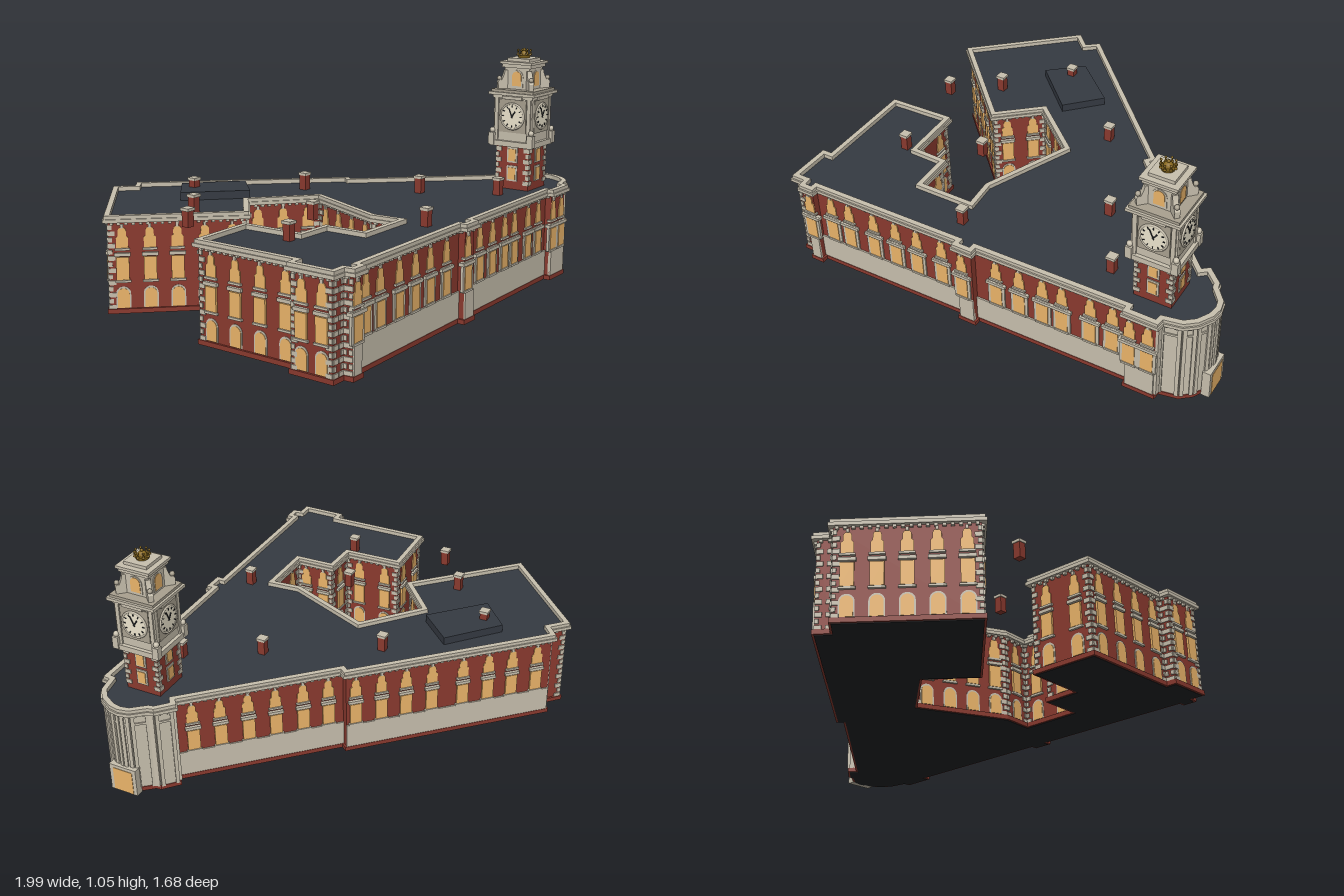
import * as THREE from 'three';

const mat = (color, side = THREE.FrontSide) => new THREE.MeshStandardMaterial({ color, side });
const BRICK = mat(0x8b3a2f), STONE = mat(0xc8c0ae), GLASS = mat(0xecb56a), ROOF = mat(0x353a42, THREE.DoubleSide);
const DARK = mat(0x222426, THREE.DoubleSide), GOLD = mat(0x8a6a1e), DIAL = mat(0xeee6cf), SHADE = mat(0xa9a190);

// Cornice outline [x, z, style, window positions] of the wall that starts at each point
const OUTLINE = [
  [-.99, .80], [-.925, .80], [-.92, .84, 'front', [-.88]], [-.835, .84],
  [-.835, .81, 'front', [-.785, -.69, -.56, -.445, -.335, -.21]], [-.13, .80],
  [-.13, .83, 'front', [-.09]], [-.02, .83],
  [-.02, .80, 'front', [.06, .17, .28, .37, .50, .60]], [.655, .79],
  [.655, .82, 'front', [.69, .77]], [.82, .82, 'nose'], [.825, .785, 'nose'], [.90, .77, 'nose'],
  [.95, .73, 'nose'], [.985, .67, 'nose'], [.995, .62, 'nose'], [.985, .57, 'nose'], [.935, .51, 'nose'],
  [.93, .485, 'nose'], [.855, .415, 'nose'],
  [.825, .44, 'side', [.41, .325, .237, .15, .062, -.02]], [.335, -.07],
  [.355, -.095, 'side', [-.125, -.21, -.293, -.38, -.486, -.574, -.657, -.744]],
  [-.335, -.82], [-.39, -.775], [-.46, -.845], [-.905, -.445], [-.475, -.01], [-.29, -.17], [-.06, .03],
  [-.225, .42], [-.215, .55], [-.45, .55], [-.455, .365], [-.615, .36], [-.625, .085], [-.95, .095],
  [-.945, .575], [-.99, .575],
];

// Move every edge of the outline inward by d
function inset(d) {
  const n = OUTLINE.length;
  const normal = (a, b) => new THREE.Vector2(a[1] - b[1], b[0] - a[0]).normalize();
  return OUTLINE.map((p, i) => {
    const n1 = normal(OUTLINE[(i + n - 1) % n], p), n2 = normal(p, OUTLINE[(i + 1) % n]);
    const k = d / (1 + n1.dot(n2));
    return new THREE.Vector2(p[0] - (n1.x + n2.x) * k, p[1] - (n1.y + n2.y) * k);
  });
}
const flip = pts => pts.map(p => new THREE.Vector2(p.x, -p.y));

function add(parent, name, geo, material, x = 0, y = 0, z = 0) {
  const m = new THREE.Mesh(geo, material);
  m.name = name;
  m.position.set(x, y, z);
  parent.add(m);
  return m;
}
// Box given by its bottom height and top height
const box = (parent, name, material, w, y0, y1, d, x = 0, z = 0) =>
  add(parent, name, new THREE.BoxGeometry(w, y1 - y0, d), material, x, (y0 + y1) / 2, z);

// Flat plan shape raised from y0 to y1, with an optional hole
function slab(parent, name, material, pts, y0, y1, hole) {
  const s = new THREE.Shape(flip(pts));
  if (hole) s.holes.push(new THREE.Path(flip(hole)));
  const geo = new THREE.ExtrudeGeometry(s, { depth: y1 - y0, bevelEnabled: false }).rotateX(-Math.PI / 2);
  return add(parent, name, geo, material, 0, y0, 0);
}

function archGeo(w, h, depth) {
  const s = new THREE.Shape(), r = w / 2;
  s.moveTo(-r, 0).lineTo(r, 0).lineTo(r, h - r);
  s.absarc(0, h - r, r, 0, Math.PI, false);
  return new THREE.ExtrudeGeometry(s, { depth, bevelEnabled: false, curveSegments: 6 });
}
// Upper window: wide foot, narrower arched head
function shoulderGeo() {
  const s = new THREE.Shape();
  s.moveTo(-.025, 0).lineTo(.025, 0).lineTo(.025, .045).lineTo(.017, .052).lineTo(.017, .072);
  s.absarc(0, .072, .017, 0, Math.PI, false);
  s.lineTo(-.017, .052).lineTo(-.025, .045);
  return new THREE.ExtrudeGeometry(s, { depth: .004, bevelEnabled: false, curveSegments: 6 });
}
const SHOULDER = shoulderGeo(), ARCH = archGeo(.05, .085, .004), ARCH_FRAME = archGeo(.062, .093, .002);

function windows(wall, x, style) {
  if (style === 'front') box(wall, 'windowSurround', STONE, .08, .14, .265, .012, x);
  box(wall, 'lowerWindow', GLASS, .054, .147, .245, .018, x);
  box(wall, 'windowHood', STONE, style === 'front' ? .092 : .068, .25, .264, .026, x);
  box(wall, 'windowSill', STONE, .066, .136, .145, .022, x);
  add(wall, 'upperWindow', SHOULDER, GLASS, x, .284, .001);
  box(wall, 'upperSill', STONE, .062, .274, .283, .02, x);
  box(wall, 'keystone', STONE, .012, .37, .386, .016, x);
  if (!style) {
    add(wall, 'groundArch', ARCH_FRAME, STONE, x, .025, .001);
    add(wall, 'groundWindow', ARCH, GLASS, x, .025, .001);
  }
}

// Alternating corner stones up a vertical edge; s is the side the edge lies on
function quoins(parent, x, s, y0, y1, z = 0) {
  const n = Math.round((y1 - y0) / .026);
  for (let i = 0; i < n; i++) {
    const w = i % 2 ? .016 : .028, y = y0 + (y1 - y0) * i / n;
    box(parent, 'quoin', STONE, w, y, y + .019, .01, x - s * w / 2, z);
  }
}

function buildWalls(parent) {
  const pts = inset(.02);
  pts.forEach((a, i) => {
    const b = pts[(i + 1) % pts.length], [, , style, list] = OUTLINE[i];
    const d = b.clone().sub(a), len = d.length();
    const wall = new THREE.Group();
    wall.name = 'wall';
    wall.position.set((a.x + b.x) / 2, 0, (a.y + b.y) / 2);
    wall.rotation.y = Math.atan2(-d.y, d.x);
    parent.add(wall);
    for (let k = 0, n = Math.floor(len / .03); k < n; k++)
      box(wall, 'dentil', STONE, .014, .384, .396, .024, ((k + .5) / n - .5) * len);
    if (style === 'nose') {
      box(wall, 'stoneFacing', STONE, len, .02, .395, .012);
      box(wall, 'stringCourse', STONE, len, .345, .355, .022);
      for (const s of [-1, 1]) box(wall, 'pilaster', STONE, .016, .02, .39, .026, s * (len / 2 - .008));
    } else if (style) {
      box(wall, 'stoneBase', STONE, len, .022, .137, .014);
      for (const v of list) {
        const t = style === 'front' ? (v - a.x) / d.x : (v - a.y) / d.y;
        windows(wall, (t - .5) * len, style);
      }
    } else if (len > .04) {
      for (const s of [-1, 1]) quoins(wall, s * len / 2, s, .02, .39);
      const n = len > .12 ? Math.round(len / .115) : 0;
      for (let k = 0; k < n; k++) windows(wall, ((k + .5) / n - .5) * len);
    }
  });
}

function clockFace(side, z) {
  const g = new THREE.Group();
  g.name = 'clock';
  g.position.set(0, .745, z);
  side.add(g);
  add(g, 'clockPanel', new THREE.BoxGeometry(.136, .15, .008), SHADE);
  add(g, 'dial', new THREE.CylinderGeometry(.057, .057, .01, 32).rotateX(Math.PI / 2), DIAL, 0, 0, .004);
  add(g, 'dialRim', new THREE.TorusGeometry(.058, .005, 6, 32), STONE, 0, 0, .007);
  const bar = (name, angle, r0, r1, w) => {
    const geo = new THREE.BoxGeometry(w, r1 - r0, .003).translate(0, (r0 + r1) / 2, 0);
    add(g, name, geo, DARK, 0, 0, .0105).rotation.z = angle;
  };
  for (let i = 0; i < 12; i++) bar('hourMark', i * Math.PI / 6, .041, .05, .004);
  bar('minuteHand', .42, -.008, .042, .004);
  bar('hourHand', -.6, -.006, .028, .006);
}

function buildTower(parent) {
  const t = new THREE.Group();
  t.name = 'clockTower';
  t.position.set(.73, 0, .61);
  parent.add(t);
  const tier = (name, m, h, y0, y1) => box(t, name, m, h * 2, y0, y1, h * 2);
  tier('brickShaft', BRICK, .082, .40, .61);
  tier('stageFoot', STONE, .106, .605, .63);
  tier('clockStage', STONE, .09, .63, .83);
  tier('cornice', STONE, .1, .825, .84);
  tier('cornice', STONE, .115, .84, .853);
  tier('cornice', SHADE, .105, .853, .865);
  tier('lantern', STONE, .062, .865, .975);
  tier('lanternCornice', STONE, .072, .962, .978);
  tier('lanternCornice', STONE, .08, .978, .99);
  tier('lanternCap', STONE, .055, .99, 1.004);
  // Scroll buttress profile, standing at each lantern corner
  const scroll = new THREE.Shape();
  scroll.moveTo(.07, 0).lineTo(.12, 0).lineTo(.122, .03).quadraticCurveTo(.115, .045, .105, .04);
  scroll.quadraticCurveTo(.094, .06, .09, .085).lineTo(.07, .085);
  const scrollGeo = new THREE.ExtrudeGeometry(scroll, { depth: .022, bevelEnabled: false }).translate(0, 0, -.011);
  const arch = archGeo(.046, .066, .006), archFrame = archGeo(.062, .078, .004);
  for (let i = 0; i < 4; i++) {
    const side = new THREE.Group();
    side.name = 'towerSide';
    side.rotation.y = i * Math.PI / 2;
    t.add(side);
    for (const s of [-1, 1]) {
      quoins(side, s * .084, s, .43, .605, .081);
      box(side, 'cornerPilaster', STONE, .018, .63, .825, .014, s * .081, .09);
    }
    for (const y of [.452, .538]) {
      box(side, 'towerWindowFrame', STONE, .052, y - .008, y + .064, .012, 0, .08);
      box(side, 'towerWindow', GLASS, .036, y, y + .055, .018, 0, .08);
    }
    clockFace(side, .092);
    box(side, 'clockHood', STONE, .1, .822, .836, .03, 0, .092);
    add(side, 'lanternFrame', archFrame, STONE, 0, .874, .061);
    add(side, 'lanternWindow', arch, GLASS, 0, .88, .061);
    box(side, 'pedestal', STONE, .028, .61, .665, .028, .098, .098);
    add(side, 'pedestalUrn', new THREE.SphereGeometry(.013, 10, 8), STONE, .098, .675, .098);
    add(side, 'scrollButtress', scrollGeo, STONE, 0, .865, 0).rotation.y = Math.PI / 4;
    add(side, 'cornerFinial', new THREE.SphereGeometry(.011, 10, 8), SHADE, .08, .912, .08);
  }
  // Crown
  add(t, 'crownBand', new THREE.CylinderGeometry(.03, .026, .014, 16), GOLD, 0, 1.011, 0);
  for (let i = 0; i < 8; i++) {
    const a = i * Math.PI / 4, x = Math.cos(a) * .03, z = Math.sin(a) * .03;
    add(t, 'crownPoint', new THREE.ConeGeometry(.007, .022, 6), GOLD, x, 1.027, z);
    add(t, 'crownBall', new THREE.SphereGeometry(.005, 8, 6), GOLD, x, 1.037, z);
  }
  add(t, 'crownDome', new THREE.SphereGeometry(.02, 12, 8), GOLD, 0, 1.018, 0);
  add(t, 'crownOrb', new THREE.SphereGeometry(.007, 8, 6), GOLD, 0, 1.04, 0);
}

export function createModel() {
  const g = new THREE.Group();
  g.name = 'building';
  const wall = inset(.02), inner = inset(.029);
  slab(g, 'brickWalls', BRICK, wall, .002, .398);
  slab(g, 'underside', DARK, wall, 0, .002);
  slab(g, 'plinth', BRICK, inset(.011), .002, .022, inner);
  slab(g, 'roof', ROOF, inset(.024), .398, .406);
  slab(g, 'cornice', STONE, inset(0), .395, .41, inner);
  slab(g, 'parapet', STONE, inset(.006), .41, .425, inner);
  buildWalls(g);
  buildTower(g);

  // Raised roof platform
  const deck = [[-.285, -.575], [-.07, -.38], [-.215, -.23], [-.435, -.445]].map(p => new THREE.Vector2(...p));
  slab(g, 'roofPlatform', ROOF, deck, .406, .442);

  // Chimneys
  for (const [x, z] of [[-.305, -.48], [-.56, -.25], [-.76, -.1], [.08, -.15], [-.36, .23], [-.685, .36],
    [.335, .31], [.51, .615], [-.175, .665]]) {
    box(g, 'chimney', BRICK, .034, .406, .473, .034, x, z);
    box(g, 'chimneyCap', STONE, .042, .473, .485, .042, x, z);
  }

  // Entrance at the rounded corner
  box(g, 'entrancePortal', STONE, .036, 0, .13, .13, .98, .625);
  box(g, 'entranceDoor', GLASS, .04, .003, .115, .095, .98, .625);
  return g;
}
